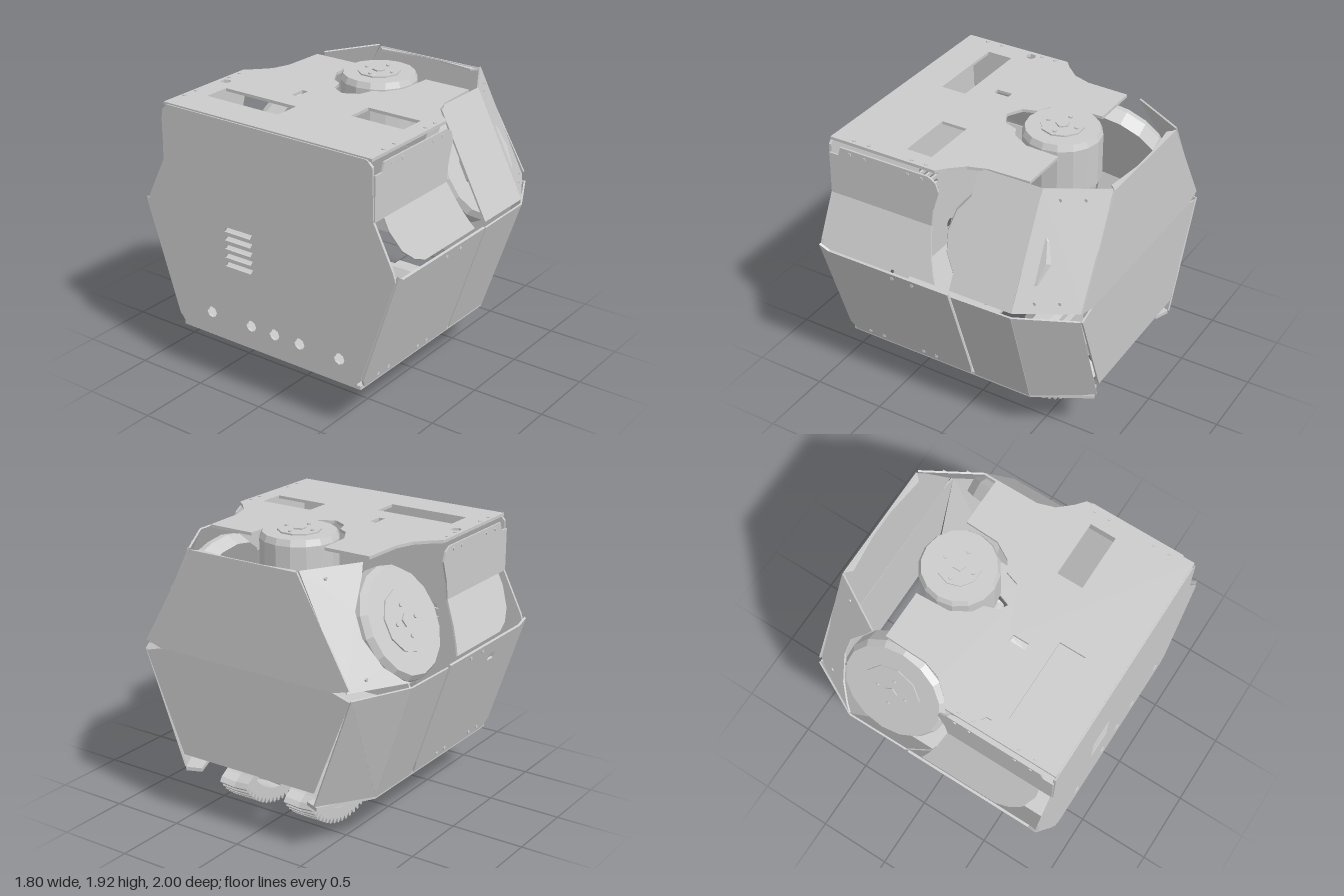
import * as THREE from 'three';

const mat = new THREE.MeshStandardMaterial({ color: 0xcccccc, flatShading: true, side: THREE.DoubleSide });
const V = (x, y, z) => new THREE.Vector3(x, y, z);

// Thin flat plate through a 3D outline, with optional 3D hole outlines
function plate(name, outline, holes = [], t = 0.012) {
  const p = outline.map(a => V(...a));
  const u = p[1].clone().sub(p[0]).normalize();
  const far = p.reduce((best, q) => {
    const c = u.clone().cross(q.clone().sub(p[0]));
    return c.length() > best.length() ? c : best;
  }, V(0, 0, 0));
  const n = far.normalize(), v = n.clone().cross(u);
  const flat = a => {
    const d = V(...a).sub(p[0]);
    return new THREE.Vector2(d.dot(u), d.dot(v));
  };
  const shape = new THREE.Shape(outline.map(flat));
  holes.forEach(h => shape.holes.push(new THREE.Path(h.map(flat))));
  const g = new THREE.ExtrudeGeometry(shape, { depth: t, bevelEnabled: false });
  g.translate(0, 0, -t / 2);
  g.applyMatrix4(new THREE.Matrix4().makeBasis(u, v, n).setPosition(p[0]));
  return named(name, g);
}

function named(name, g) {
  const m = new THREE.Mesh(g, mat);
  m.name = name;
  return m;
}

// Cylinder whose outer cap sits at pos, facing dir
function puck(name, r, depth, sides, pos, dir, rBase = r) {
  const g = new THREE.CylinderGeometry(r, rBase, depth, sides);
  g.translate(0, -depth / 2, 0);
  const m = named(name, g);
  m.quaternion.setFromUnitVectors(V(0, 1, 0), dir);
  m.position.copy(pos);
  return m;
}

// Drive disc or hub with raised centre and bolts
function hub(name, r, depth, pos, dir) {
  const grp = new THREE.Group();
  grp.name = name;
  const up = V(0, 1, 0);
  grp.add(puck('hubBody', r * 0.93, 0.04, 16, V(0, 0, 0), up, r),
    puck('hubDrum', r, depth, 16, V(0, -0.04, 0), up),
    puck('hubCap', r * 0.55, 0.02, 10, V(0, 0.01, 0), up),
    puck('hubCentre', 0.045, 0.02, 5, V(0, 0.02, 0), up));
  for (let i = 0; i < 4; i++) {
    const a = i * Math.PI / 2;
    grp.add(puck('hubBolt', 0.014, 0.02, 6, V(0.1 * Math.cos(a), 0.02, 0.1 * Math.sin(a)), up));
  }
  grp.position.copy(pos);
  grp.quaternion.setFromUnitVectors(up, dir);
  return grp;
}

// Toothed sector with two windows and chevron teeth
function sectorGear(z) {
  const half = 1.02, teeth = 21, pts = [];
  const at = (r, a) => new THREE.Vector2(r * Math.sin(a), -r * Math.cos(a));
  for (let i = 0; i < teeth; i++) {
    const a = -half + 2 * half * i / teeth, w = 2 * half / teeth;
    pts.push(at(0.44, a), at(0.474, a + w * 0.35), at(0.474, a + w * 0.65));
  }
  pts.push(at(0.44, half), at(0.38, half), at(0.15, 1.3), at(0.1, 2.6), at(0.1, -2.6), at(0.15, -1.3), at(0.38, -half));
  const shape = new THREE.Shape(pts);
  for (const s of [-1, 1]) {
    const h = [at(0.15, s * 0.18)];
    for (let i = 0; i <= 6; i++) h.push(at(0.37, s * (0.07 + 0.8 * i / 6)));
    h.push(at(0.17, s * 0.8));
    shape.holes.push(new THREE.Path(h));
  }
  const g = new THREE.ExtrudeGeometry(shape, { depth: 0.22, steps: 2, bevelEnabled: false });
  g.translate(0, 0, -0.11);
  const p = g.attributes.position;
  for (let i = 0; i < p.count; i++) {
    const a = Math.abs(p.getZ(i)) * 0.35 - 0.02, x = p.getX(i), y = p.getY(i);
    p.setXY(i, x * Math.cos(a) - y * Math.sin(a), x * Math.sin(a) + y * Math.cos(a));
  }
  g.computeVertexNormals();
  const m = named('sectorGear', g);
  m.position.set(0.3, 0.474, z);
  return m;
}

export function createModel() {
  const model = new THREE.Group();
  model.name = 'shellUnit';
  const add = (...m) => model.add(...m);
  const mirror = half => [...half, ...half.slice().reverse().map(([x, y, z]) => [x, y, -z])];

  // Top deck with cut-outs for the hub and discs
  const rect = (x0, x1, z0, z1) => [[x0, 1.86, z0], [x1, 1.86, z0], [x1, 1.86, z1], [x0, 1.86, z1]];
  const deckHex = [0, 1, 2, 3, 4, 5].map(i => [-0.37 + 0.035 * Math.cos(i * Math.PI / 3), 1.86, -0.74 + 0.035 * Math.sin(i * Math.PI / 3)]);
  add(plate('topDeck', mirror([
    [-0.89, 1.86, 0.8], [-0.12, 1.86, 0.8], [-0.07, 1.86, 0.74], [0.02, 1.86, 0.66], [0.14, 1.86, 0.62], [0.43, 1.86, 0.61],
    [0.43, 1.86, 0.28], [0.2, 1.86, 0.27], [0.08, 1.86, 0.2], [0.04, 1.86, 0.13], [-0.05, 1.86, 0.1], [-0.1, 1.86, 0.01],
  ]), [rect(-0.65, -0.47, -0.65, -0.08), rect(-0.4, -0.22, 0.29, 0.68), rect(-0.32, -0.21, -0.235, -0.19), deckHex], 0.02));

  // Bottom deck, open around the gears
  add(plate('bottomDeck', mirror([
    [-0.88, 0.335, 0.72], [0.5, 0.335, 0.72], [0.86, 0.335, 0.52], [0.82, 0.335, 0.42],
    [0.48, 0.335, 0.55], [0.2, 0.335, 0.45], [-0.02, 0.335, 0.42], [-0.1, 0.335, 0.3], [-0.12, 0.335, 0.01],
  ]), [], 0.025));

  // Flat side plate with round ports and vent slots
  const ports = [-0.46, -0.13, 0.06, 0.26, 0.57].map(z => Array.from({ length: 8 }, (_, i) =>
    [-0.89, 0.5 + 0.04 * Math.sin(i * Math.PI / 4), z + 0.04 * Math.cos(i * Math.PI / 4)]));
  const vents = [0, 1, 2, 3, 4].map(i => {
    const y = 0.87 + i * 0.06;
    return [[-0.89, y, -0.33], [-0.89, y, -0.12], [-0.89, y + 0.035, -0.1], [-0.89, y + 0.035, -0.31]];
  });
  add(plate('flatSide', mirror([
    [-0.89, 0.4, 0.73], [-0.89, 1.14, 0.98], [-0.89, 1.2, 0.96], [-0.89, 1.48, 0.82], [-0.89, 1.82, 0.81], [-0.89, 1.86, 0.77],
  ]).concat([[-0.89, 0.34, -0.68], [-0.89, 0.34, 0.68]]), [...ports, ...vents], 0.018));

  // Faceted side plate, notched at mid height
  add(plate('facetedSideUpper', mirror([[0.893, 1.155, 0.66], [0.893, 1.19, 0.78], [0.88, 1.85, 0.4]])));
  add(plate('facetedSideLower', mirror([[0.893, 1.155, 0.66], [0.893, 1.12, 0.78], [0.872, 0.45, 0.51]])));
  add(plate('sideTopLip', [[0.88, 1.84, 0.4], [0.88, 1.84, -0.4], [0.84, 1.84, -0.36], [0.87, 1.83, -0.1], [0.87, 1.83, 0.1], [0.84, 1.84, 0.36]]));

  for (const s of [1, -1]) {
    const f = pts => pts.map(([x, y, z]) => [x, y, z * s]);
    const lowZ = y => 0.72 + (y - 0.34) * 0.325;
    const low = (x, y) => [x, y, lowZ(y)];

    // Lower panels
    const slot = s < 0 ? [f([low(-0.56, 0.99), low(-0.48, 0.99), low(-0.48, 1.04), low(-0.56, 1.04)])] : [];
    add(plate('lowerFlatPanel', f([low(-0.89, 0.4), low(-0.85, 0.34), low(0.06, 0.34), low(0.07, 0.42), low(0.07, 1.14), low(-0.83, 1.14), low(-0.89, 1.18)]), slot, 0.016));
    add(plate('lowerCentrePanel', f([low(0.09, 0.34), low(0.5, 0.34), low(0.52, 1.14), low(0.09, 1.13)])));
    add(plate('lowerCornerPanel', f([[0.5, 0.34, 0.72], [0.52, 1.14, 0.98], [0.89, 1.13, 0.79]])));
    add(plate('lowerCornerPanel', f([[0.5, 0.34, 0.72], [0.89, 1.13, 0.79], [0.872, 0.36, 0.51]])));

    // Recessed window panel, folded outward at the bottom
    add(plate('windowPanelUpper', f([[-0.89, 1.48], [-0.14, 1.48], [-0.125, 1.6], [-0.08, 1.74], [-0.1, 1.8], [-0.15, 1.83], [-0.8, 1.83], [-0.82, 1.77], [-0.89, 1.77]].map(([x, y]) => [x, y, 0.82]))));
    add(plate('windowPanelLower', f([[-0.8, 1.48], [-0.8, 1.4], [-0.75, 1.27], [-0.67, 1.2], [-0.58, 1.165], [-0.03, 1.165], [-0.06, 1.22], [-0.1, 1.32], [-0.14, 1.48]].map(([x, y]) => [x, y, 0.82 + (1.48 - y) * 0.47]))));

    // Upper corner panel; the rear one is cut away around its disc
    const cornerZ = (x, y) => 0.62 + (1.86 - y) * 0.514 - (x - 0.52) * 0.58;
    const cut = s < 0 ? [[0.56, 1.78], [0.67, 1.6], [0.69, 1.45], [0.64, 1.28], [0.56, 1.19]] : [];
    add(plate('upperCornerPanel', f([[0.89, 1.17], [0.88, 1.86], [0.52, 1.86], ...cut, [0.52, 1.17]].map(([x, y]) => [x, y, cornerZ(x, y)]))));

    // Tilted drive disc
    const dir = V(0, 0.45, 0.89 * s).normalize();
    add(hub('driveDisc', 0.37, 0.1, V(0.3, 1.46, 0.785 * s), dir));

    // Panel screws
    const out = V(0, 0, s);
    for (const x of [-0.73, -0.62, -0.3, -0.2]) {
      add(puck('screw', 0.013, 0.012, 5, V(x, 1.8, 0.832 * s), out));
      add(puck('screw', 0.013, 0.012, 5, V(x, 0.38, (lowZ(0.38) + 0.014) * s), out));
    }
    for (const x of [-0.35, -0.2]) add(puck('screw', 0.013, 0.012, 5, V(x, 1.1, (lowZ(1.1) + 0.014) * s), out));
    for (const x of [0.63, 0.76]) for (const y of [1.8, 1.23])
      if (s > 0 || x > 0.7) add(puck('screw', 0.013, 0.012, 5, V(x, y, (cornerZ(x, y) + 0.014) * s), out));
    for (const x of [-0.73, -0.62, -0.3, -0.2]) add(puck('screw', 0.013, 0.012, 5, V(x, 1.876, 0.77 * s), V(0, 1, 0)));

    add(sectorGear(0.26 * s));
  }

  // Upper centre panel, front only
  add(plate('upperCentrePanel', [[0.08, 1.17, 0.975], [0.52, 1.17, 0.975], [0.52, 1.86, 0.62], [0.08, 1.86, 0.62]]));

  // Top hub and the axle joining the gears
  add(hub('topHub', 0.255, 0.3, V(0.3, 1.905, 0), V(0, 1, 0)));
  const bridge = named('gearBridge', new THREE.BoxGeometry(0.2, 0.1, 0.34));
  bridge.position.set(0.3, 0.39, 0);
  add(bridge);
  const axle = named('gearAxle', new THREE.CylinderGeometry(0.07, 0.07, 0.8, 10).rotateX(Math.PI / 2));
  axle.position.set(0.3, 0.474, 0);
  add(axle);
  return model;
}
